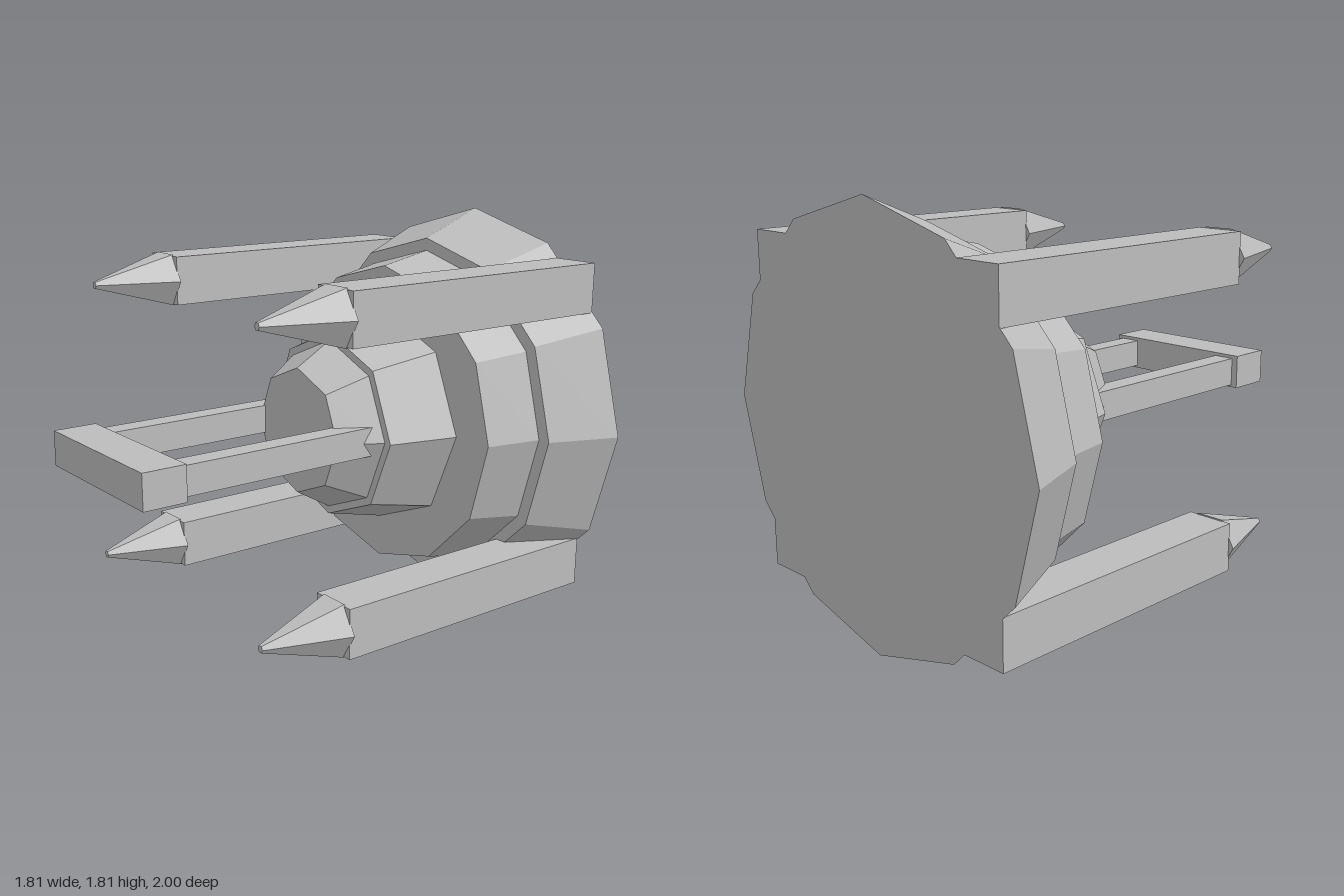
import * as THREE from 'three';

const grey = new THREE.MeshStandardMaterial({ color: 0xbcbcbc });
grey.name = 'hull grey';

const CENTRE_Y = 0.905;

export function createModel() {
  const model = new THREE.Group();
  model.name = 'model';

  function add(name, geometry, x, y, z) {
    const mesh = new THREE.Mesh(geometry, grey);
    mesh.name = name;
    mesh.position.set(x, y, z);
    model.add(mesh);
  }

  // Faceted frustum along z, with one flat normal per face
  function frustum(name, x, y, zBack, zFront, rBack, rFront, sides, turn = 0) {
    let geometry = new THREE.CylinderGeometry(rFront, rBack, zFront - zBack, sides, 1, false, turn);
    geometry.rotateX(Math.PI / 2);
    geometry = geometry.toNonIndexed();
    geometry.computeVertexNormals();
    add(name, geometry, x, y, (zBack + zFront) / 2);
  }

  function box(name, x, y, zBack, zFront, w, h) {
    add(name, new THREE.BoxGeometry(w, h, zFront - zBack), x, y, (zBack + zFront) / 2);
  }

  // Stepped hull: two twelve-sided tiers, then two eight-sided ones
  frustum('hullBase', 0, CENTRE_Y, -1, -0.7, 0.905, 0.785, 12);
  frustum('hullMiddle', 0, CENTRE_Y, -0.7, -0.45, 0.73, 0.68, 12);
  frustum('hullCollar', 0, CENTRE_Y, -0.45, -0.145, 0.49, 0.415, 8);
  frustum('hullNose', 0, CENTRE_Y, -0.145, 0.03, 0.38, 0.28, 8);

  // Four corner prongs with six-sided tips
  for (const sx of [1, -1]) {
    for (const sy of [1, -1]) {
      const x = sx * 0.615;
      const y = CENTRE_Y + sy * 0.617;
      box('prong', x, y, -1, 0.31, 0.21, 0.213);
      frustum('prongTip', x, y, 0.305, 0.66, 0.13, 0.016, 6, Math.PI / 2);
    }
  }

  // Two arms carrying the front crossbar
  for (const sx of [1, -1]) box('crossbarArm', sx * 0.288, 0.908, -0.14, 0.82, 0.095, 0.125);
  box('crossbar', 0, 0.91, 0.81, 1, 0.73, 0.15);

  return model;
}
